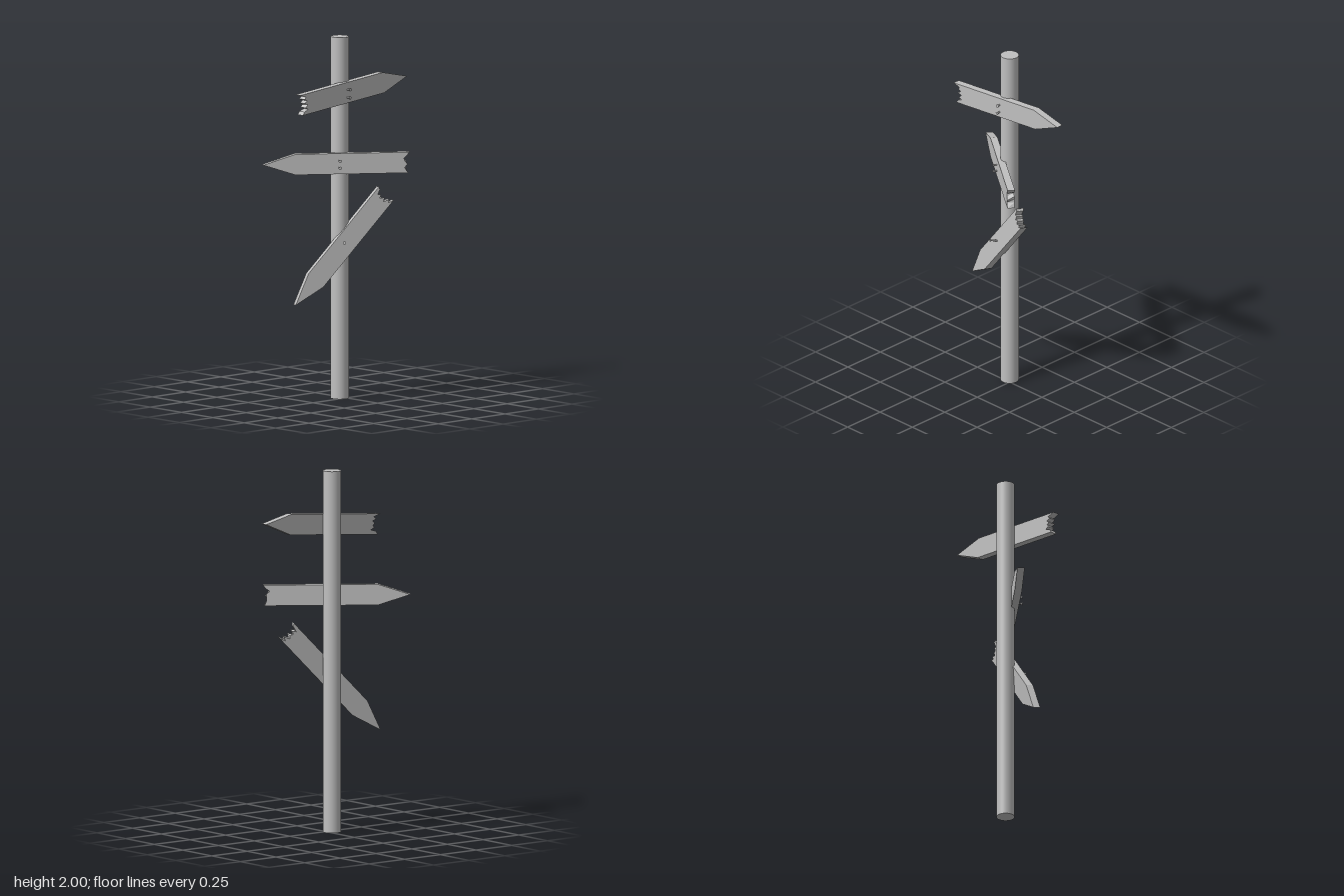
import * as THREE from 'three';

const V = (x, y, z) => new THREE.Vector3(x, y, z);
const HALF = 0.057, THICK = 0.04, SHOULDER = 0.177;

// Each board: tip centre, broken-end centre, facing direction,
// broken edge as [height fraction, distance from tip], nails as [start, end]
const boards = [
  {
    name: 'upperSign', tip: V(0.025, 1.74, -0.413), end: V(0.025, 1.662, 0.384), facing: V(1, 0, 0),
    jag: [[-1, 0.8], [-0.7, 0.757], [-0.5, 0.766], [-0.3, 0.75], [-0.1, 0.772], [0.1, 0.747], [0.35, 0.766], [0.55, 0.748], [0.7, 0.775], [1, 0.79]],
    nails: [[V(0.035, 1.713, 0.034), V(0.066, 1.715, 0.03)], [V(0.035, 1.67, 0.034), V(0.066, 1.67, 0.032)]],
  },
  {
    name: 'middleSign', tip: V(-0.24, 1.305, 0.4), end: V(0.232, 1.305, -0.244), facing: V(0.806, 0, 0.59),
    jag: [[-1, 0.797], [-0.5, 0.778], [-0.15, 0.793], [0.15, 0.78], [0.4, 0.774], [0.7, 0.79], [1, 0.805]],
    nails: [[V(0.013, 1.322, 0.068), V(0.043, 1.322, 0.086)], [V(0.013, 1.284, 0.068), V(0.043, 1.284, 0.086)]],
  },
  {
    name: 'lowerSign', tip: V(-0.063, 0.542, 0.328), end: V(0.1, 1.12, -0.195), facing: V(0.922, 0.093, 0.391),
    jag: [[-1, 0.8], [-0.75, 0.77], [-0.6, 0.784], [-0.3, 0.755], [-0.1, 0.776], [0.2, 0.752], [0.35, 0.776], [0.6, 0.762], [0.75, 0.79], [1, 0.8]],
    nails: [[V(0.028, 0.864, 0.046), V(0.072, 0.873, 0.081)]],
  },
];

// Pointed plank with a splintered end; x runs from tip to broken end
function boardGeometry(jag) {
  const shape = new THREE.Shape();
  shape.moveTo(0, 0);
  shape.lineTo(SHOULDER, -HALF);
  jag.forEach(([v, s]) => shape.lineTo(s, v * HALF));
  shape.lineTo(SHOULDER, HALF);
  shape.closePath();
  const geo = new THREE.ExtrudeGeometry(shape, { depth: THICK, bevelEnabled: false });
  geo.translate(0, 0, -THICK / 2);
  // Splinters run unevenly through the thickness
  const p = geo.attributes.position;
  for (let i = 0; i < p.count; i++) {
    if (p.getX(i) > 0.7 && p.getZ(i) < 0 && Math.abs(p.getY(i)) < HALF * 0.95) {
      p.setX(i, p.getX(i) + 0.008 * Math.sin(p.getY(i) * 170));
    }
  }
  geo.computeVertexNormals();
  return geo;
}

// Nail with a thin shaft and a wider head
function makeNail(start, end, material) {
  const nail = new THREE.Group();
  nail.name = 'nail';
  const length = start.distanceTo(end);
  const shaft = new THREE.Mesh(new THREE.CylinderGeometry(0.005, 0.005, length, 10), material);
  shaft.name = 'nailShaft';
  shaft.position.y = length / 2;
  const head = new THREE.Mesh(new THREE.CylinderGeometry(0.009, 0.007, 0.005, 12), material);
  head.name = 'nailHead';
  head.position.y = length - 0.0025;
  nail.add(shaft, head);
  nail.position.copy(start);
  nail.quaternion.setFromUnitVectors(V(0, 1, 0), end.clone().sub(start).normalize());
  return nail;
}

export function createModel() {
  const model = new THREE.Group();
  model.name = 'signpost';
  const grey = new THREE.MeshStandardMaterial({ color: 0xc0c0c0 });
  grey.name = 'plain grey';

  // Upright pole
  const pole = new THREE.Mesh(new THREE.CylinderGeometry(0.05, 0.05, 2, 32), grey);
  pole.name = 'pole';
  pole.position.set(-0.025, 1, 0.025);
  model.add(pole);

  // Direction boards and their nails
  for (const b of boards) {
    const sign = new THREE.Group();
    sign.name = b.name;
    const along = b.end.clone().sub(b.tip).normalize();
    const up = b.facing.clone().cross(along).normalize();
    const out = along.clone().cross(up);
    const board = new THREE.Mesh(boardGeometry(b.jag), grey);
    board.name = 'board';
    board.quaternion.setFromRotationMatrix(new THREE.Matrix4().makeBasis(along, up, out));
    board.position.copy(b.tip);
    sign.add(board);
    b.nails.forEach(([start, end]) => sign.add(makeNail(start, end, grey)));
    model.add(sign);
  }
  return model;
}
